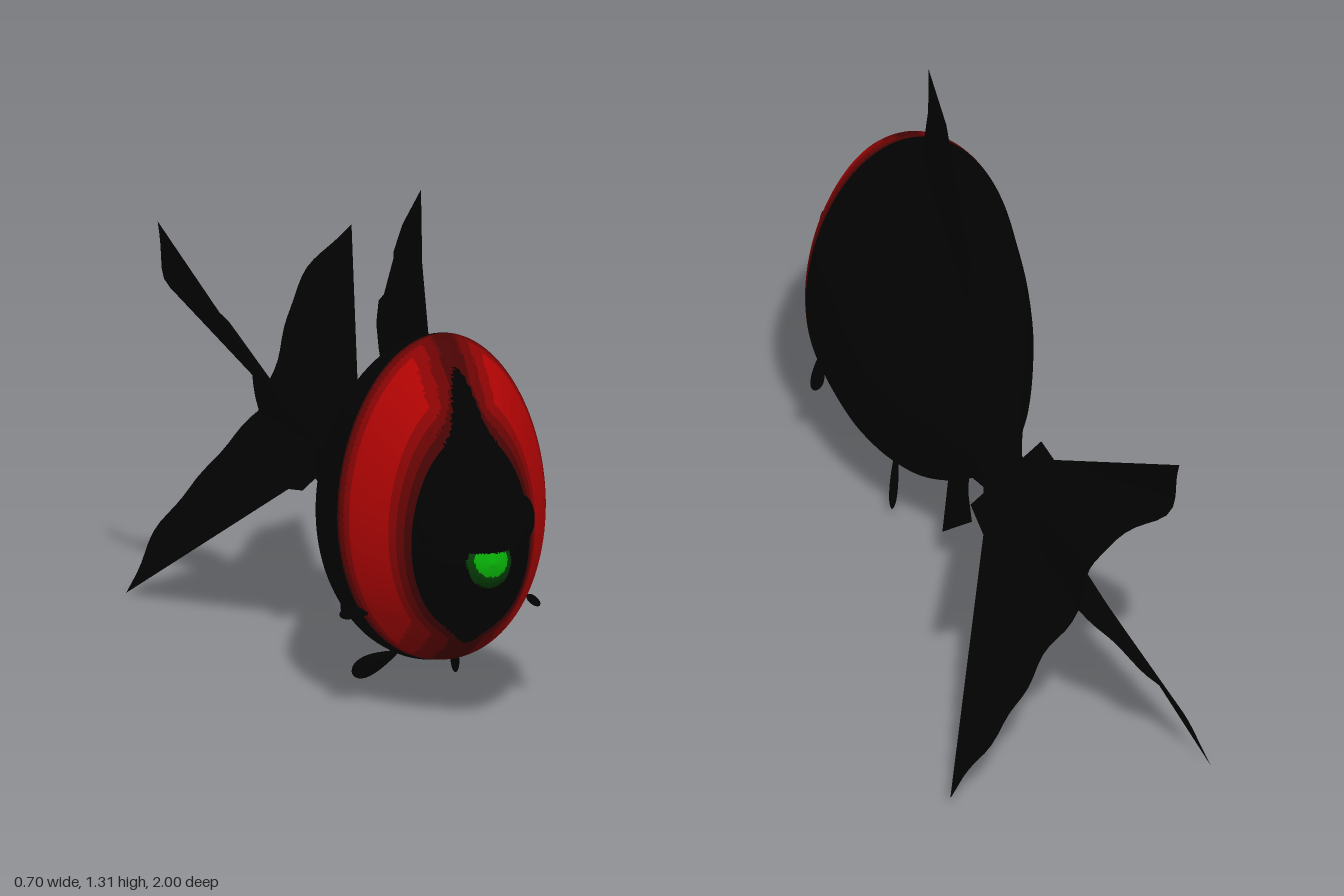
import * as THREE from 'three';

const CX = -0.03; // the body sits slightly off the centre line
const mat = (name, color, side = THREE.FrontSide) => {
  const m = new THREE.MeshStandardMaterial({ color, side });
  m.name = name;
  return m;
};

// Stations along the body: z, top y, bottom y, half width
const STATIONS = [
  [1.0, 0.445, 0.445, 0], [0.985, 0.495, 0.395, 0.042], [0.93, 0.59, 0.338, 0.085], [0.87, 0.68, 0.28, 0.128],
  [0.8, 0.775, 0.215, 0.168], [0.74, 0.86, 0.175, 0.202], [0.68, 0.915, 0.145, 0.238], [0.63, 0.953, 0.125, 0.265],
  [0.58, 0.97, 0.115, 0.28], [0.5, 0.95, 0.1, 0.275], [0.4, 0.92, 0.098, 0.264], [0.3, 0.87, 0.118, 0.243],
  [0.2, 0.8, 0.155, 0.21], [0.1, 0.735, 0.22, 0.172], [0, 0.67, 0.3, 0.127], [-0.1, 0.602, 0.36, 0.09],
  [-0.2, 0.56, 0.385, 0.06], [-0.28, 0.55, 0.4, 0.052], [-0.285, 0.47, 0.47, 0],
];

// Material index for a point on the skin: 0 black, 1-4 red band, 5-6 mouth
function skinColour(x, y, z) {
  const dx = Math.abs(x - CX);
  if (z > 0.92) {
    if (y > 0.473) return 0;
    if (Math.hypot(dx / 0.045, (y - 0.455) / 0.045) < 1) return 6;
    return Math.hypot(dx / 0.06, (y - 0.445) / 0.066) < 1 ? 5 : 0;
  }
  if (z < 0.58) return 0;
  const notch = (y > 0.5 ? 0.12 : 0.04) * Math.exp(-((dx / 0.034) ** 2));
  const front = (0.814 - notch - z) / 0.023;
  if (front < 0) return 0;
  const rear = 1.5 + (z - 0.58) / 0.02;
  const middle = dx / (y > 0.5 ? 0.03 : 0.045);
  return Math.min(4, Math.floor(Math.min(rear, 1 + front, 1 + middle)));
}

function makeBody(materials) {
  const SUB = 8, SEG = 128, pos = [], buckets = materials.map(() => []);
  const curve = (f) => new THREE.CatmullRomCurve3(STATIONS.map(f), false, 'catmullrom', 0.4);
  const outline = curve((s) => new THREE.Vector3(s[0], s[1], s[2]));
  const widths = curve((s) => new THREE.Vector3(s[0], s[3], 0));
  const rows = (STATIONS.length - 1) * SUB;
  for (let i = 0; i <= rows; i++) {
    const p = outline.getPoint(i / rows), w = Math.max(0, widths.getPoint(i / rows).y);
    for (let j = 0; j < SEG; j++) {
      const a = (j / SEG) * Math.PI * 2, s = Math.sin(a);
      pos.push(CX + w * Math.cos(a) * (1 - 0.08 * s), (p.y + p.z) / 2 + ((p.y - p.z) / 2) * s, p.x);
    }
  }
  const face = (...ids) => {
    const mean = (k) => ids.reduce((t, n) => t + pos[n * 3 + k], 0) / 3;
    buckets[skinColour(mean(0), mean(1), mean(2))].push(...ids);
  };
  for (let i = 0; i < rows; i++) {
    for (let j = 0; j < SEG; j++) {
      const a = i * SEG + j, b = i * SEG + ((j + 1) % SEG);
      if (i < rows - 1) face(a, a + SEG, b + SEG);
      else face(a, a + SEG, b);
      if (i > 0 && i < rows - 1) face(a, b + SEG, b);
    }
  }
  const g = new THREE.BufferGeometry();
  g.setAttribute('position', new THREE.Float32BufferAttribute(pos, 3));
  g.setIndex(buckets.flat());
  let start = 0;
  buckets.forEach((b, m) => {
    if (b.length) g.addGroup(start, b.length, m);
    start += b.length;
  });
  g.computeVertexNormals();
  return new THREE.Mesh(g, materials);
}

// Open sheet from a rule (u, v) -> [x, y, z]
function sheet(rule, nu, nv) {
  const pos = [], idx = [], n = nv + 1;
  for (let i = 0; i <= nu; i++) for (let j = 0; j <= nv; j++) pos.push(...rule(i / nu, j / nv));
  for (let i = 0; i < nu; i++) {
    for (let j = 0; j < nv; j++) {
      const a = i * n + j;
      idx.push(a, a + n, a + 1, a + 1, a + n, a + n + 1);
    }
  }
  const g = new THREE.BufferGeometry();
  g.setAttribute('position', new THREE.Float32BufferAttribute(pos, 3));
  g.setIndex(idx);
  g.computeVertexNormals();
  return g;
}

// Flat fin outline given as [z, y], placed by a rule for x
function flatFin(points, xAt) {
  const g = new THREE.ShapeGeometry(new THREE.Shape(points.map(([z, y]) => new THREE.Vector2(z, y))));
  const p = g.attributes.position;
  for (let i = 0; i < p.count; i++) {
    const z = p.getX(i), y = p.getY(i);
    p.setXYZ(i, xAt(z, y), y, z);
  }
  g.computeVertexNormals();
  return g;
}

// Small paddle lying along z, narrow at the root and full near the tip
function paddle(thick, wide, length) {
  const g = new THREE.SphereGeometry(1, 20, 16).rotateX(Math.PI / 2);
  const p = g.attributes.position;
  for (let i = 0; i < p.count; i++) {
    const t = 0.75 + 0.4 * p.getZ(i);
    p.setXYZ(i, p.getX(i) * t * thick, p.getY(i) * t * wide, p.getZ(i) * length);
  }
  g.computeVertexNormals();
  return g;
}

export function createModel() {
  const black = mat('black skin', 0x020202);
  const fin = mat('black fin', 0x020202, THREE.DoubleSide);
  const skin = [
    black, mat('deepest red', 0x480404), mat('dark red', 0x6a0404), mat('medium red', 0x8c0404),
    mat('bright red', 0xb20404), mat('dark green', 0x064006), mat('bright green', 0x08b008),
  ];
  const model = new THREE.Group();
  const add = (name, mesh) => {
    mesh.name = name;
    model.add(mesh);
    return mesh;
  };

  add('body', makeBody(skin));

  // Dorsal fin, gently rippled above the back
  const dorsal = [[0.54, 0.93], [0.465, 1.13], [0.4, 1.31], [0.3, 1.2], [0.21, 1.11], [0.17, 1.02], [0.12, 0.965],
    [0.09, 0.9], [0.04, 0.82], [0.17, 0.745], [0.2, 0.74], [0.4, 0.88]];
  const wave = (z, y) => CX - 0.002 + 0.016 * Math.cos((y - 1.05) * 28);
  add('dorsalFin', new THREE.Mesh(flatFin(dorsal, wave), fin));

  // Four tail lobes, each fanning from the body end to a curved trailing edge [x, y]
  const lobes = {
    upperLeft: [[0.03, 0.6], [0.1, 0.785], [0.165, 0.86], [0.26, 0.925]],
    upperRight: [[-0.05, 0.62], [-0.1, 0.715], [-0.25, 0.81], [-0.265, 0.968]],
    lowerLeft: [[0.07, 0.385], [0.16, 0.255], [0.25, 0.15], [0.35, 0.045]],
    lowerRight: [[-0.12, 0.375], [-0.19, 0.285], [-0.275, 0.18], [-0.35, 0]],
  };
  for (const [name, points] of Object.entries(lobes)) {
    const sx = name.endsWith('Left') ? 1 : -1, up = name.startsWith('upper') ? 1 : -1;
    const trailing = new THREE.CatmullRomCurve3([[CX, 0.48], ...points].map(([x, y]) => new THREE.Vector3(x, y, 0)));
    const rule = (u, v) => {
      const k = Math.max(0, (u - 0.15) / 0.85), end = trailing.getPointAt(v);
      const rootY = 0.48 + up * v * (0.08 + Math.min(u, 0.15) * 0.12);
      const edge = 0.882 + 0.108 * Math.pow(v, 0.8) + 0.008 * Math.sin(v * 20);
      return [
        THREE.MathUtils.lerp(CX + sx * 0.095 * v, end.x, k),
        THREE.MathUtils.lerp(rootY, end.y, k),
        -0.25 - u * (Math.min(edge, 1) - 0.25),
      ];
    };
    add(name + 'TailLobe', new THREE.Mesh(sheet(rule, 20, 20), fin));
  }

  // Paired parts, mirrored across the body
  const ball = new THREE.SphereGeometry(1, 20, 14);
  const anal = [[0.1, 0.25], [0.03, 0.12], [-0.04, 0.18], [-0.11, 0.24], [-0.04, 0.28], [0, 0.33]];
  const pelvicShape = paddle(0.013, 0.032, 0.1);
  const pectoralShape = paddle(0.013, 0.026, 0.058);
  for (const s of [1, -1]) {
    const side = s > 0 ? 'left' : 'right';

    const eye = add(side + 'Eye', new THREE.Mesh(ball, black));
    eye.position.set(CX + s * 0.13, 0.53, 0.85);
    eye.scale.set(0.026, 0.06, 0.035);
    eye.rotation.y = s * 0.5;

    const pectoral = add(side + 'PectoralFin', new THREE.Mesh(pectoralShape, black));
    pectoral.position.set(CX + s * 0.242, 0.257, 0.605);
    pectoral.lookAt(CX + s * 0.26, 0.25, 0.55);
    pectoral.rotateZ(-s * 0.9);

    const pelvic = add(side + 'PelvicFin', new THREE.Mesh(pelvicShape, black));
    pelvic.position.set(CX + s * 0.107, 0.073, 0.37);
    pelvic.lookAt(CX + s * 0.137, 0.035, 0.295);

    add(side + 'AnalFin', new THREE.Mesh(flatFin(anal, (z, y) => CX + s * (0.03 + (0.3 - y) * 0.3)), fin));
  }
  return model;
}
